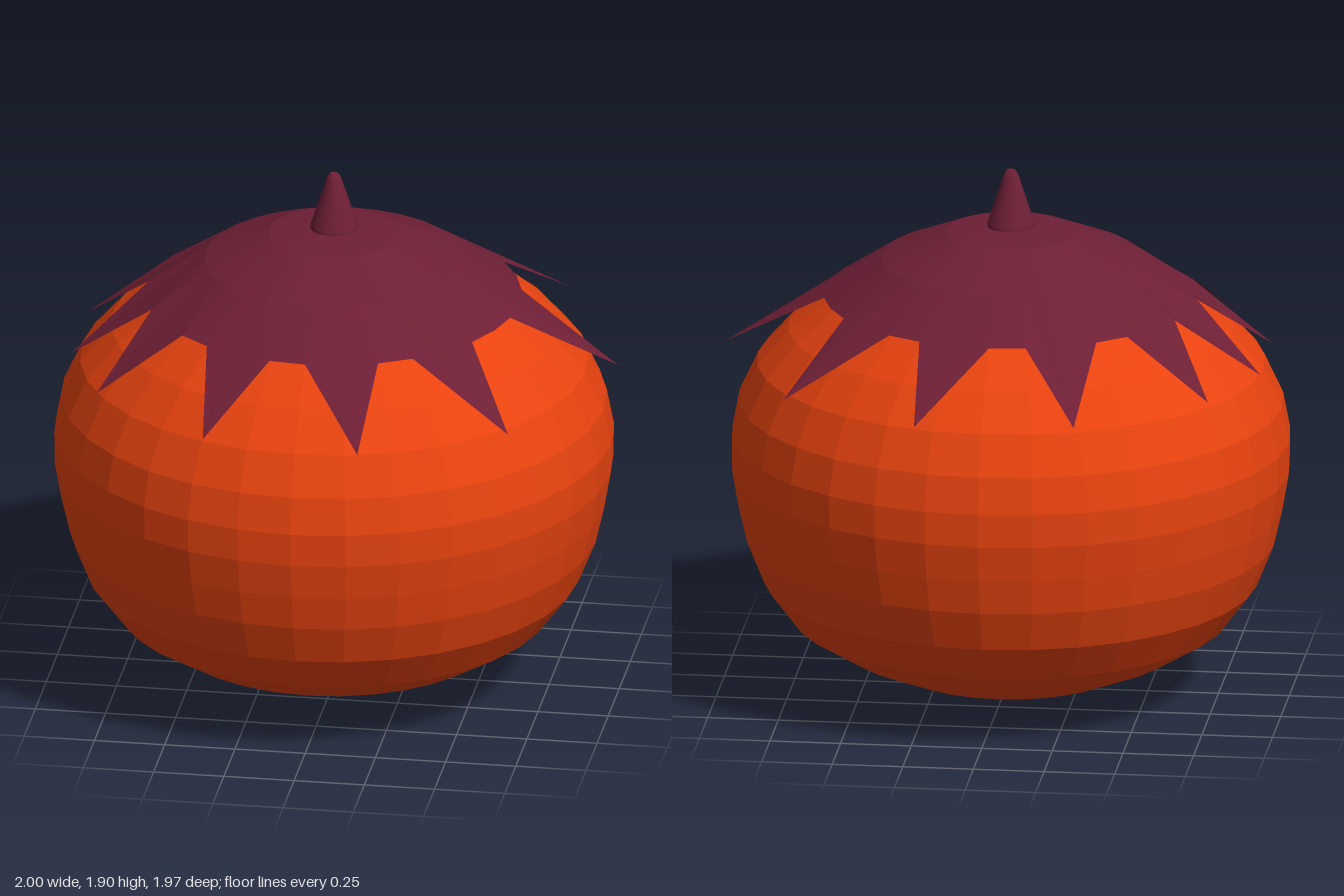
import * as THREE from 'three';

const SIDES = 32;
const CENTRE_X = -0.015;

// Faceted surface of revolution from [radius, height] pairs, bottom to top
function lathe(name, profile, material) {
  const points = profile.map(([r, y]) => new THREE.Vector2(r, y));
  const mesh = new THREE.Mesh(new THREE.LatheGeometry(points, SIDES, Math.PI / 2), material);
  mesh.name = name;
  mesh.position.x = CENTRE_X;
  return mesh;
}

export function createModel() {
  const group = new THREE.Group();
  group.name = 'fruit';
  const skin = new THREE.MeshStandardMaterial({ color: 0xe8430f, flatShading: true });
  const leaf = new THREE.MeshStandardMaterial({ color: 0x6e1f35, flatShading: true, side: THREE.DoubleSide });

  // Squashed round body
  group.add(lathe('body', [
    [0, 0], [0.205, 0.02], [0.405, 0.075], [0.595, 0.155], [0.765, 0.26], [0.87, 0.4],
    [0.93, 0.55], [0.96, 0.68], [0.983, 0.81], [0.985, 0.93], [0.96, 1.06], [0.895, 1.2],
    [0.785, 1.325], [0.64, 1.44], [0.45, 1.565], [0.225, 1.655], [0, 1.685],
  ], skin));

  // Leaf cap: some rim vertices are pulled out and down into points
  const cap = lathe('leafCap', [[0.66, 1.445], [0.455, 1.58], [0.23, 1.675], [0, 1.7]], leaf);
  const position = cap.geometry.attributes.position;
  const ringCount = 4;
  const tips = [0, 4, 7, 10, 13, 15, 17, 19, 22, 25, 28];
  for (let i = 0; i <= SIDES; i++) {
    if (!tips.includes(i % SIDES)) continue;
    const a = (i / SIDES) * Math.PI * 2;
    position.setXYZ(i * ringCount, 0.967 * Math.cos(a) + 0.043, 1.235, -0.967 * Math.sin(a));
  }
  cap.geometry.computeVertexNormals();
  group.add(cap);

  // Tapered stem with a slightly rounded end
  group.add(lathe('stem', [
    [0, 1.69], [0.084, 1.695], [0.083, 1.705], [0.025, 1.885], [0.015, 1.9], [0, 1.9],
  ], leaf));

  return group;
}
